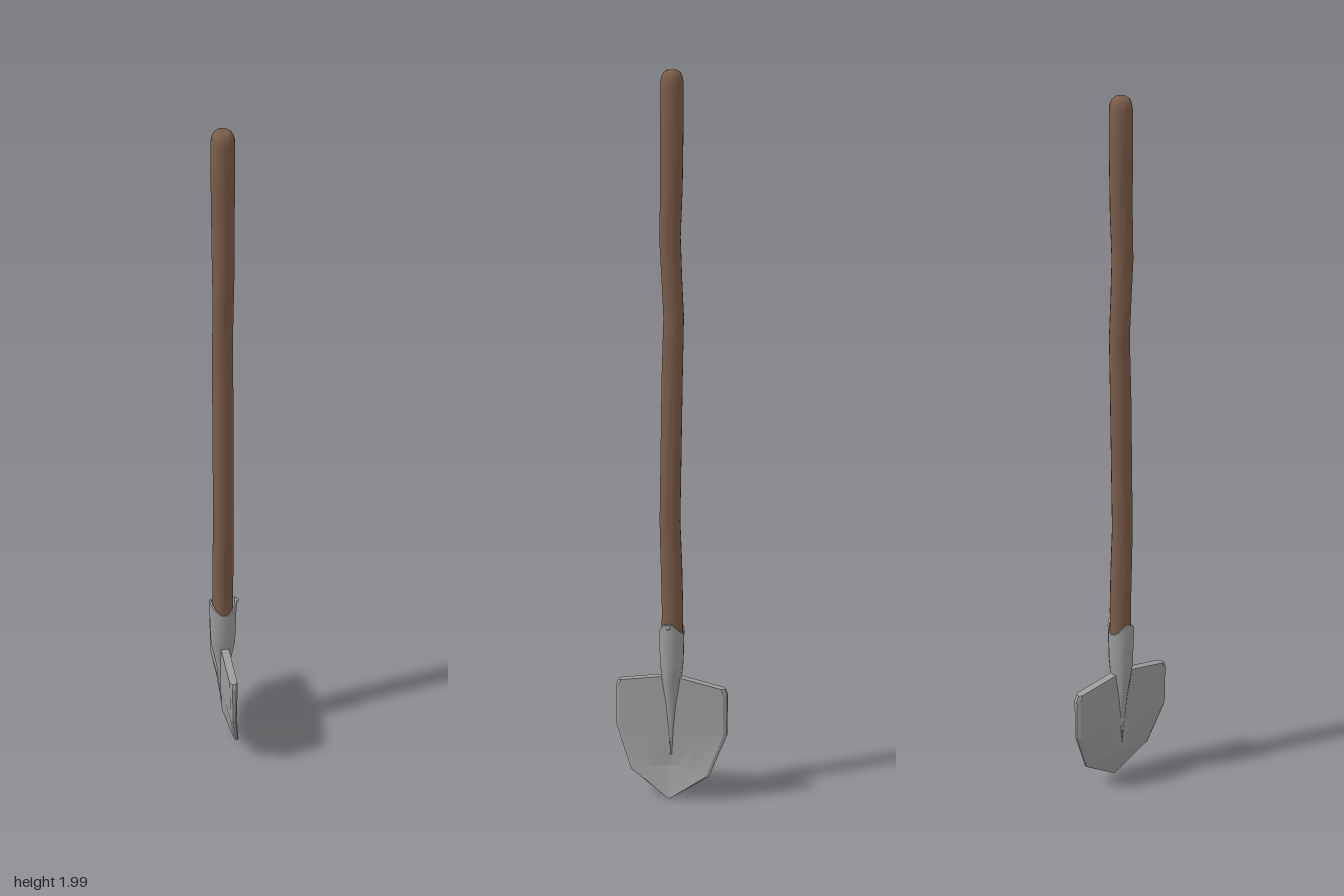
import * as THREE from 'three';
import { toCreasedNormals } from 'three/addons/utils/BufferGeometryUtils.js';

const CX = -0.003; // shared axis of handle and socket

// Skin a list of rings (counterclockwise seen from above, bottom to top) and close both ends
function loft(rings, crease) {
  const n = rings[0].length, last = (rings.length - 1) * n, index = [];
  const quad = (a, b, c, d) => index.push(a, b, c, a, c, d);
  for (let i = 0; i < rings.length - 1; i++)
    for (let j = 0; j < n; j++) {
      const k = (j + 1) % n;
      quad(i * n + j, i * n + k, (i + 1) * n + k, (i + 1) * n + j);
    }
  for (let j = 0; j < n / 2 - 1; j++) {
    quad(n - 1 - j, n - 2 - j, j + 1, j);
    quad(last + j, last + j + 1, last + n - 2 - j, last + n - 1 - j);
  }
  const geo = new THREE.BufferGeometry();
  geo.setAttribute('position', new THREE.Float32BufferAttribute(rings.flat(2), 3));
  geo.setIndex(index);
  return toCreasedNormals(geo, crease);
}

// Elliptical ring; dip lowers it towards the z sides
function ellipse(y, rx, rz, cx = CX, cz = 0, dip = 0, sides = 16) {
  return Array.from({ length: sides }, (_, j) => {
    const a = (j / sides) * Math.PI * 2;
    return [cx + rx * Math.cos(a), y - dip * Math.sin(a) ** 2, cz - rz * Math.sin(a)];
  });
}

// Blade ring: +x face across the width, then back along the -x face
function bladeRing([yMid, yEdge, width, xMid, xEdge, half]) {
  const us = [1, 0.94, 0.5, 0.15, 0, -0.15, -0.5, -0.94, -1];
  const face = (side) => us.map((u) => {
    const t = Math.abs(u);
    const h = half * (t === 1 ? 0.45 : 1);
    return [
      xMid + (xEdge - xMid) * t + side * h,
      yMid + (yEdge - yMid) * t,
      u * width,
    ];
  });
  return [...face(1), ...face(-1).reverse()];
}

export function createModel() {
  const group = new THREE.Group();
  const wood = new THREE.MeshStandardMaterial({ color: 0x7a5c48 });
  const metal = new THREE.MeshStandardMaterial({ color: 0x9c9c9c });
  const add = (name, geo, mat) => {
    const mesh = new THREE.Mesh(geo, mat);
    mesh.name = name;
    group.add(mesh);
    return mesh;
  };

  // Slightly crooked handle with a rounded end: [y, radius, z]
  const handle = [
    [0.42, 0.029, 0], [0.55, 0.029, -0.002], [0.68, 0.029, 0.001], [0.8, 0.028, 0.005],
    [1.0, 0.028, 0.002], [1.2, 0.028, -0.001], [1.36, 0.027, -0.005], [1.46, 0.027, 0],
    [1.57, 0.028, 0.005], [1.7, 0.029, 0.001], [1.85, 0.03, 0], [1.97, 0.03, 0],
    [1.985, 0.027, 0], [1.995, 0.022, 0], [2.0, 0.015, 0],
  ];
  add('handle', loft(handle.map(([y, r, z]) => ellipse(y, r, r, CX, z)), 0.7), wood);

  // Socket: spine tapering into the blade, hollow collar with a dipped rim
  const socket = [
    ellipse(0.13, 0.009, 0.003, 0.0),
    ellipse(0.2, 0.012, 0.009),
    ellipse(0.28, 0.019, 0.017),
    ellipse(0.36, 0.034, 0.028),
    ellipse(0.4, 0.036, 0.032),
    ellipse(0.52, 0.039, 0.034, CX, 0, 0.035),
    ellipse(0.52, 0.033, 0.031, CX, 0, 0.035),
    ellipse(0.44, 0.03, 0.03),
  ];
  add('socket', loft(socket, 0.6), metal);

  // Pointed blade, dished and swept towards +x: [yMid, yEdge, width, xMid, xEdge, half thickness]
  const blade = [
    [0.008, 0.011, 0.006, 0.028, 0.028, 0.002],
    [0.1, 0.08, 0.11, 0.0, 0.016, 0.006],
    [0.2, 0.2, 0.156, -0.003, -0.002, 0.009],
    [0.345, 0.32, 0.157, -0.003, -0.002, 0.011],
    [0.362, 0.335, 0.15, -0.003, -0.002, 0.011],
  ];
  add('blade', loft(blade.map(bladeRing), 0.2), metal);

  // Nail through the collar
  const nail = add('nail', new THREE.SphereGeometry(0.006, 10, 8), metal);
  nail.position.set(0.036, 0.51, 0);

  return group;
}
